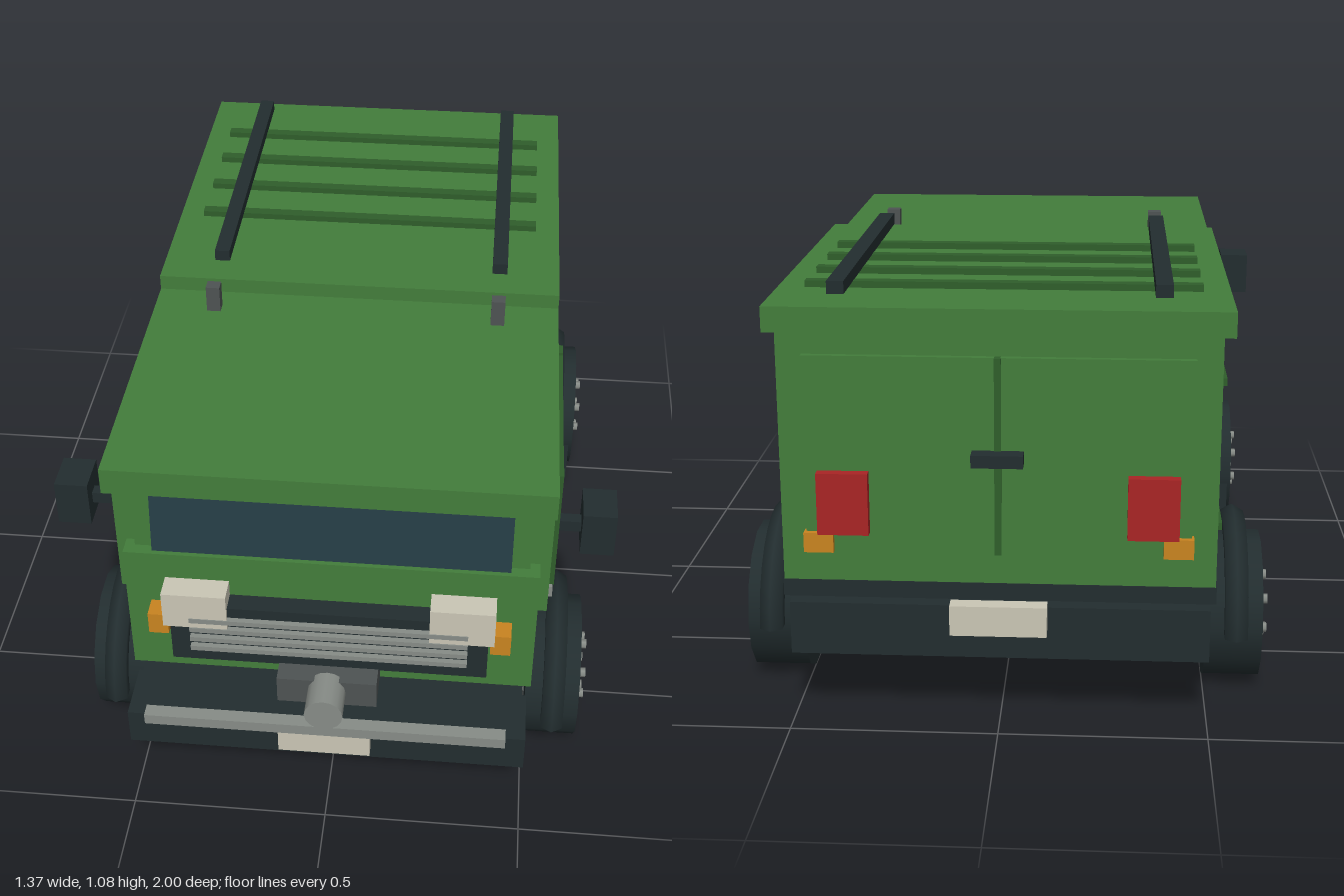
import * as THREE from 'three';

const mat = (name, color, double) => {
  const m = new THREE.MeshStandardMaterial({ color });
  m.name = name;
  if (double) m.side = THREE.DoubleSide;
  return m;
};

export function createModel() {
  const root = new THREE.Group();
  root.name = 'offRoadTruck';
  const green = mat('bodyGreen', 0x437d3b);
  const trim = mat('trimGreen', 0x2f5e2b);
  const dark = mat('darkRubber', 0x222d2f, true);
  const glass = mat('tintedGlass', 0x253d45);
  const cream = mat('creamLamp', 0xcac6b5);
  const silver = mat('lightGrey', 0x878c87);
  const steel = mat('darkGrey', 0x4e5353);
  const amber = mat('amber', 0xc98420);
  const red = mat('tailRed', 0xa92525);

  const add = (name, geo, m, parent = root) => {
    const mesh = new THREE.Mesh(geo, m);
    mesh.name = name;
    parent.add(mesh);
    return mesh;
  };
  // box given by its limits on each axis
  const box = (name, m, x0, x1, y0, y1, z0, z1) => {
    const mesh = add(name, new THREE.BoxGeometry(x1 - x0, y1 - y0, z1 - z0), m);
    mesh.position.set((x0 + x1) / 2, (y0 + y1) / 2, (z0 + z1) / 2);
    return mesh;
  };
  // box centred across the truck
  const mid = (name, m, w, ...r) => box(name, m, -w, w, ...r);
  // the same box on both sides
  const pair = (name, m, x0, x1, ...r) => {
    box(name + 'Left', m, x0, x1, ...r);
    box(name + 'Right', m, -x1, -x0, ...r);
  };

  // chassis and bumpers
  mid('chassis', dark, 0.49, 0.13, 0.31, -0.84, 0.84);
  mid('frontValance', dark, 0.49, 0.18, 0.31, 0.84, 0.92);
  mid('frontBumper', dark, 0.5, 0.21, 0.312, 0.82, 0.97);
  mid('rearBumper', dark, 0.5, 0.18, 0.312, -0.945, -0.83);
  mid('bumperBar', silver, 0.45, 0.31, 0.34, 0.965, 1.0);
  mid('frontPlate', cream, 0.115, 0.245, 0.31, 0.965, 0.998);
  mid('rearPlate', cream, 0.115, 0.25, 0.325, -0.98, -0.94);

  // cab
  mid('cabLower', green, 0.51, 0.34, 0.715, 0.07, 0.815);
  mid('cabUpper', green, 0.535, 0.56, 0.932, 0.145, 0.765);
  mid('cabRoof', green, 0.535, 0.93, 1.0, 0.06, 0.85);
  pair('windscreenPillar', green, 0.44, 0.485, 0.71, 0.932, 0.76, 0.785);
  const screen = mid('windscreen', glass, 0.44, 0.713, 0.933, 0.778, 0.79);
  screen.rotation.x = -0.12;

  // doors: window, frame, seam, handles
  pair('doorWindow', glass, 0.533, 0.542, 0.625, 0.912, 0.2, 0.68);
  pair('windowFrameTop', trim, 0.533, 0.55, 0.91, 0.94, 0.165, 0.71);
  pair('windowFrameBottom', trim, 0.533, 0.55, 0.605, 0.628, 0.165, 0.71);
  pair('windowFrameFront', trim, 0.533, 0.55, 0.6, 0.948, 0.68, 0.71);
  pair('windowFrameBack', trim, 0.533, 0.55, 0.6, 0.948, 0.165, 0.2);
  pair('doorSeam', trim, 0.525, 0.54, 0.39, 0.61, 0.176, 0.19);
  pair('doorHandleFront', silver, 0.53, 0.55, 0.53, 0.562, 0.555, 0.68);
  pair('doorHandleBack', silver, 0.53, 0.55, 0.53, 0.562, 0.41, 0.53);

  // mirrors
  pair('mirrorArm', dark, 0.53, 0.61, 0.77, 0.8, 0.67, 0.7);
  pair('mirror', dark, 0.603, 0.685, 0.73, 0.85, 0.63, 0.735);

  // nose: grille, lamps, winch
  mid('grille', dark, 0.395, 0.415, 0.595, 0.81, 0.866);
  for (let i = 0; i < 4; i++) {
    const y = 0.465 + i * 0.031;
    mid('grilleSlat' + (i + 1), silver, 0.345, y - 0.007, y + 0.007, 0.86, 0.88);
  }
  pair('headlight', cream, 0.25, 0.41, 0.535, 0.64, 0.81, 0.878);
  pair('frontIndicator', amber, 0.4, 0.45, 0.498, 0.56, 0.81, 0.867);
  mid('winchMount', steel, 0.125, 0.34, 0.418, 0.81, 0.92);
  const drum = add('winchDrum', new THREE.CylinderGeometry(0.048, 0.048, 0.1, 16), silver);
  drum.rotation.x = Math.PI / 2;
  drum.position.set(0, 0.382, 0.95);

  // cargo body
  mid('cargoBody', green, 0.51, 0.37, 0.985, -0.945, 0.05);
  mid('cargoSill', dark, 0.512, 0.33, 0.372, -0.947, 0.052);
  mid('cargoRoof', green, 0.535, 0.98, 1.04, -0.97, 0.07);
  for (const y of [0.495, 0.85])
    pair('sideRib', trim, 0.505, 0.525, y - 0.009, y + 0.009, -0.865, -0.03);
  pair('sideHandle', dark, 0.505, 0.53, 0.676, 0.696, -0.25, -0.13);
  pair('sideHatch', silver, 0.505, 0.519, 0.675, 0.765, -0.735, -0.595);

  // rear doors and lamps
  pair('rearDoor', green, 0.007, 0.45, 0.45, 0.925, -0.96, -0.94);
  mid('rearDoorSeam', trim, 0.008, 0.45, 0.925, -0.966, -0.94);
  mid('rearHandle', dark, 0.06, 0.675, 0.705, -1.0, -0.955);
  pair('tailLight', red, 0.3, 0.42, 0.5, 0.65, -0.985, -0.94);
  pair('rearIndicator', amber, 0.385, 0.455, 0.452, 0.5, -0.975, -0.94);

  // roof rack
  pair('rackRail', dark, 0.355, 0.395, 1.055, 1.085, -0.9, 0.0);
  for (let i = 0; i < 4; i++) {
    const z = -0.27 - i * 0.16;
    mid('rackCrossbar' + (i + 1), trim, 0.47, 1.035, 1.056, z - 0.015, z + 0.015);
  }
  pair('roofPost', steel, 0.357, 0.393, 0.99, 1.072, 0.132, 0.165);

  // wheels, arches and mud flaps
  const tyreGeo = new THREE.CylinderGeometry(0.188, 0.188, 0.14, 14);
  const rimGeo = new THREE.CylinderGeometry(0.11, 0.11, 0.145, 18);
  const capGeo = new THREE.CylinderGeometry(0.05, 0.05, 0.156, 14);
  const boltGeo = new THREE.CylinderGeometry(0.013, 0.013, 0.18, 6);
  const archGeo = new THREE.TorusGeometry(0.22, 0.032, 6, 14, Math.PI);
  for (const side of [1, -1]) {
    for (const [end, z] of [['front', 0.577], ['rear', -0.6]]) {
      const wheel = new THREE.Group();
      wheel.name = end + (side > 0 ? 'LeftWheel' : 'RightWheel');
      wheel.position.set(side * 0.57, 0.19, z);
      wheel.rotation.z = -side * Math.PI / 2;
      root.add(wheel);
      add('tyre', tyreGeo, dark, wheel);
      add('rim', rimGeo, steel, wheel);
      add('hubCap', capGeo, silver, wheel);
      for (let i = 0; i < 6; i++) {
        const a = (i / 6) * Math.PI * 2;
        add('wheelBolt', boltGeo, silver, wheel)
          .position.set(Math.cos(a) * 0.078, 0, Math.sin(a) * 0.078);
      }
      const arch = add(end + 'Arch', archGeo, dark);
      arch.position.set(side * 0.572, 0.19, z);
      arch.rotation.y = Math.PI / 2;
    }
  }
  pair('frontMudFlap', dark, 0.5, 0.63, 0.02, 0.2, 0.395, 0.406);
  pair('rearMudFlap', dark, 0.5, 0.63, 0.02, 0.2, -0.43, -0.419);

  return root;
}
